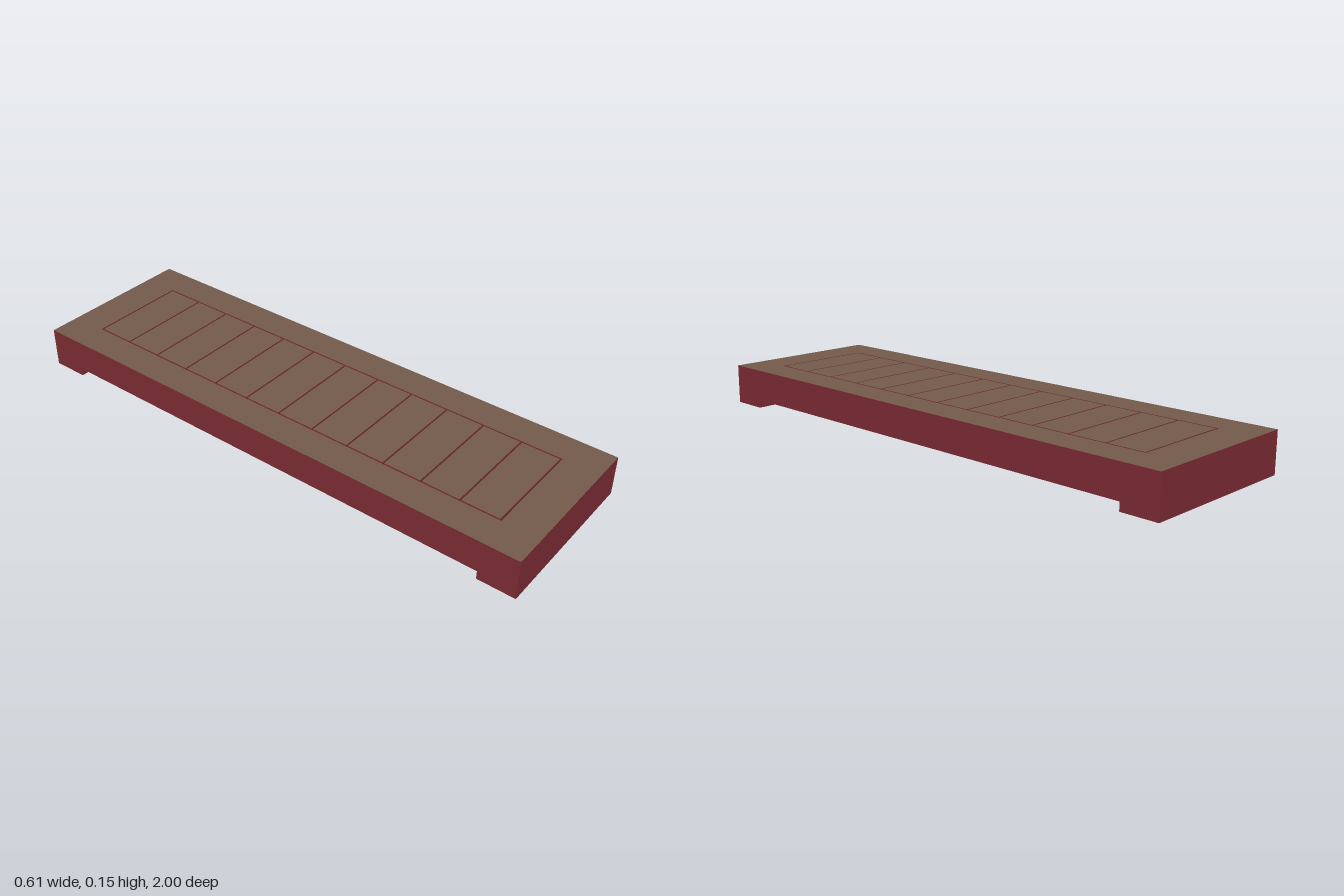
import * as THREE from 'three';

const W = 0.306, L = 1, TOP = 0.147, FOOT = 0.03; // half width, half length, heights
const OPEN_X = 0.189, OPEN_Z = 0.865;             // half size of the opening
const GAP = 0.006, SLATS = 12, SLAT_H = 0.018;

const rectangle = (path, x, y) =>
  path.moveTo(-x, -y).lineTo(x, -y).lineTo(x, y).lineTo(-x, y).closePath();

export function createModel() {
  const brown = new THREE.MeshStandardMaterial({ color: 0x755c4c });
  brown.name = 'brownTop';
  const red = new THREE.MeshStandardMaterial({ color: 0x7f2d35 });
  red.name = 'darkRed';

  const model = new THREE.Group();
  model.name = 'slattedPlatform';
  const add = (name, geometry, material, x, y, z) => {
    const mesh = new THREE.Mesh(geometry, material);
    mesh.name = name;
    mesh.position.set(x, y, z);
    model.add(mesh);
  };

  // Frame: a rectangle with an opening, red everywhere but its top
  const shape = rectangle(new THREE.Shape(), W, L);
  shape.holes.push(rectangle(new THREE.Path(), OPEN_X, OPEN_Z));
  const frame = new THREE.ExtrudeGeometry(shape, { depth: TOP - FOOT, bevelEnabled: false });
  const [caps, walls] = frame.groups;
  frame.clearGroups();
  frame.addGroup(0, caps.count / 2, 0);              // underside
  frame.addGroup(caps.count / 2, caps.count / 2, 1); // top
  frame.addGroup(walls.start, walls.count, 0);
  frame.rotateX(-Math.PI / 2);
  add('frame', frame, [red, brown], 0, FOOT, 0);

  // Full-width foot under each end
  const footDepth = L - OPEN_Z;
  for (const [name, side] of [['frontFoot', 1], ['backFoot', -1]]) {
    add(name, new THREE.BoxGeometry(2 * W, FOOT, footDepth), red,
      0, FOOT / 2, side * (L - footDepth / 2));
  }

  // Thin slats filling the opening, flush with the frame top
  const pitch = (2 * OPEN_Z - GAP) / SLATS;
  const slat = new THREE.BoxGeometry(2 * (OPEN_X - GAP), SLAT_H, pitch - GAP);
  const slatMaterials = [red, red, brown, red, red, red];
  for (let i = 0; i < SLATS; i++) {
    add(`slat${i + 1}`, slat, slatMaterials,
      0, TOP - SLAT_H / 2, (i - (SLATS - 1) / 2) * pitch);
  }
  return model;
}
